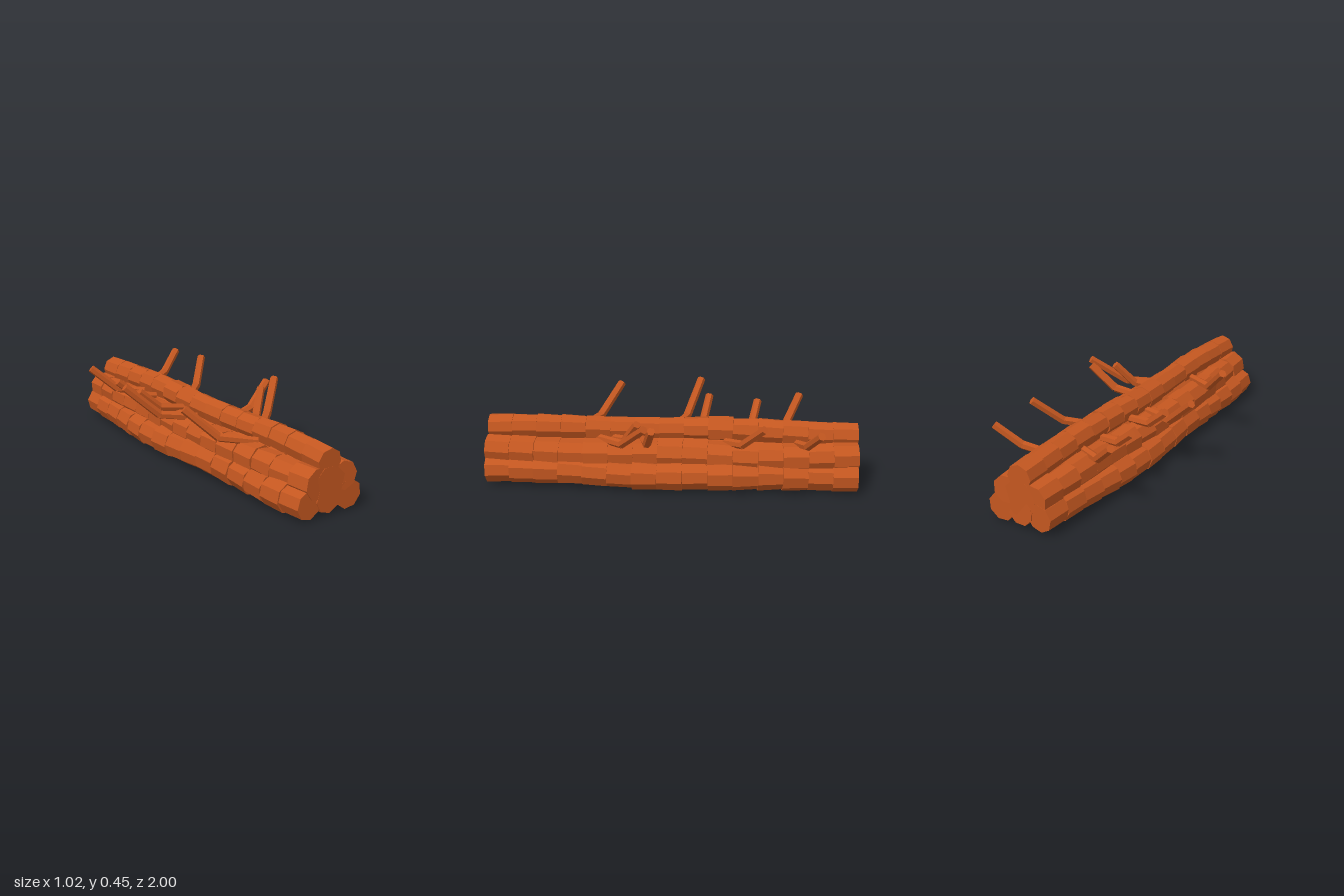
import * as THREE from 'three';

export function createModel() {
  const model = new THREE.Group();
  const bark = new THREE.MeshStandardMaterial({ color: 0xc45720, flatShading: true });
  bark.name = 'barkBrown';

  // Small seeded generator for the rough bark
  let seed = 11;
  const rand = () => (seed = (seed * 16807) % 2147483647) / 2147483647;
  const jitter = (a) => (rand() * 2 - 1) * a;
  const up = new THREE.Vector3(0, 1, 0);

  // Tapered faceted stick between two points
  function stick(a, b, rA, rB, sides, spin) {
    const dir = b.clone().sub(a);
    const geo = new THREE.CylinderGeometry(rB, rA, dir.length(), sides);
    geo.rotateY(spin);
    const mesh = new THREE.Mesh(geo, bark);
    mesh.position.copy(a).add(b).multiplyScalar(0.5);
    mesh.quaternion.setFromUnitVectors(up, dir.normalize());
    return mesh;
  }

  // Bundle of logs, stacked three, two, one: [name, sideways, height, radius, bulge, wave]
  const bundle = new THREE.Group();
  bundle.name = 'logBundle';
  bundle.rotation.y = 0.309;
  bundle.position.x = 0.02;
  const half = 0.985;
  const count = 15;
  const logs = [
    ['bottomRightLog', -0.116, 0.08, 0.077, -0.042, 0],
    ['bottomMiddleLog', 0, 0.08, 0.075, 0, 1],
    ['bottomLeftLog', 0.118, 0.08, 0.077, 0.045, 2],
    ['middleRightLog', -0.076, 0.175, 0.077, -0.035, 3],
    ['middleLeftLog', 0.088, 0.175, 0.078, 0.03, 4],
    ['topLog', 0, 0.271, 0.067, 0, 5],
  ];
  for (const [name, side, height, radius, bulge, wave] of logs) {
    const log = new THREE.Group();
    log.name = name;
    const point = (s) => new THREE.Vector3(
      side + bulge * Math.cos(s * 1.58) + 0.008 * Math.sin(s * 5 + wave),
      height + 0.005 * Math.sin(s * 6 + wave * 2) + (name === 'topLog' ? 0.008 * Math.cos(s * 1.5) : 0),
      s);
    const spin = rand() * 6;
    for (let i = 0; i < count; i++) {
      // Each bark sleeve steps slightly over the next one
      const a = point(-half + (2 * half * i) / count);
      const b = point(-half + (2 * half * (i + 1)) / count);
      log.add(stick(a, b, radius * (0.98 + jitter(0.06)), radius * (1.01 + jitter(0.06)), 8, spin + jitter(0.25)));
    }
    bundle.add(log);
  }

  // Solid core closing the gaps between the logs
  const core = stick(new THREE.Vector3(0.004, 0.15, -half), new THREE.Vector3(0.004, 0.15, half), 0.1, 0.1, 8, 0.39);
  core.name = 'bundleCore';
  bundle.add(core);
  model.add(bundle);

  // Bent twigs: base, elbow, tip
  const twigs = [
    [[-0.2, 0.24, -0.5], [-0.35, 0.26, -0.53], [-0.495, 0.383, -0.56]],
    [[-0.17, 0.25, -0.36], [-0.29, 0.27, -0.355], [-0.39, 0.355, -0.35]],
    [[-0.08, 0.25, -0.11], [-0.22, 0.27, -0.095], [-0.335, 0.37, -0.085]],
    [[-0.05, 0.24, 0.035], [-0.25, 0.265, 0.015], [-0.435, 0.428, 0]],
    [[0.12, 0.245, 0.51], [-0.07, 0.27, 0.46], [-0.235, 0.417, 0.405]],
    [[-0.11, 0.24, -0.66], [-0.01, 0.27, -0.74], [0.09, 0.373, -0.835]],
    [[0.01, 0.24, -0.3], [0.09, 0.27, -0.42], [0.165, 0.397, -0.56]],
    [[0.13, 0.24, 0.12], [0.25, 0.265, 0.05], [0.37, 0.385, -0.025]],
    [[0.2, 0.24, 0.34], [0.3, 0.265, 0.17], [0.405, 0.403, 0]],
    [[0.17, 0.24, 0.27], [0.235, 0.265, 0.18], [0.295, 0.383, 0.085]],
  ];
  twigs.forEach((points, i) => {
    const [base, elbow, tip] = points.map((p) => new THREE.Vector3(...p));
    const twig = new THREE.Group();
    twig.name = 'twig' + (i + 1);
    twig.add(stick(base, elbow, 0.022, 0.023, 6, 0.3), stick(elbow, tip, 0.023, 0.022, 6, 0.3));
    model.add(twig);
  });

  return model;
}
